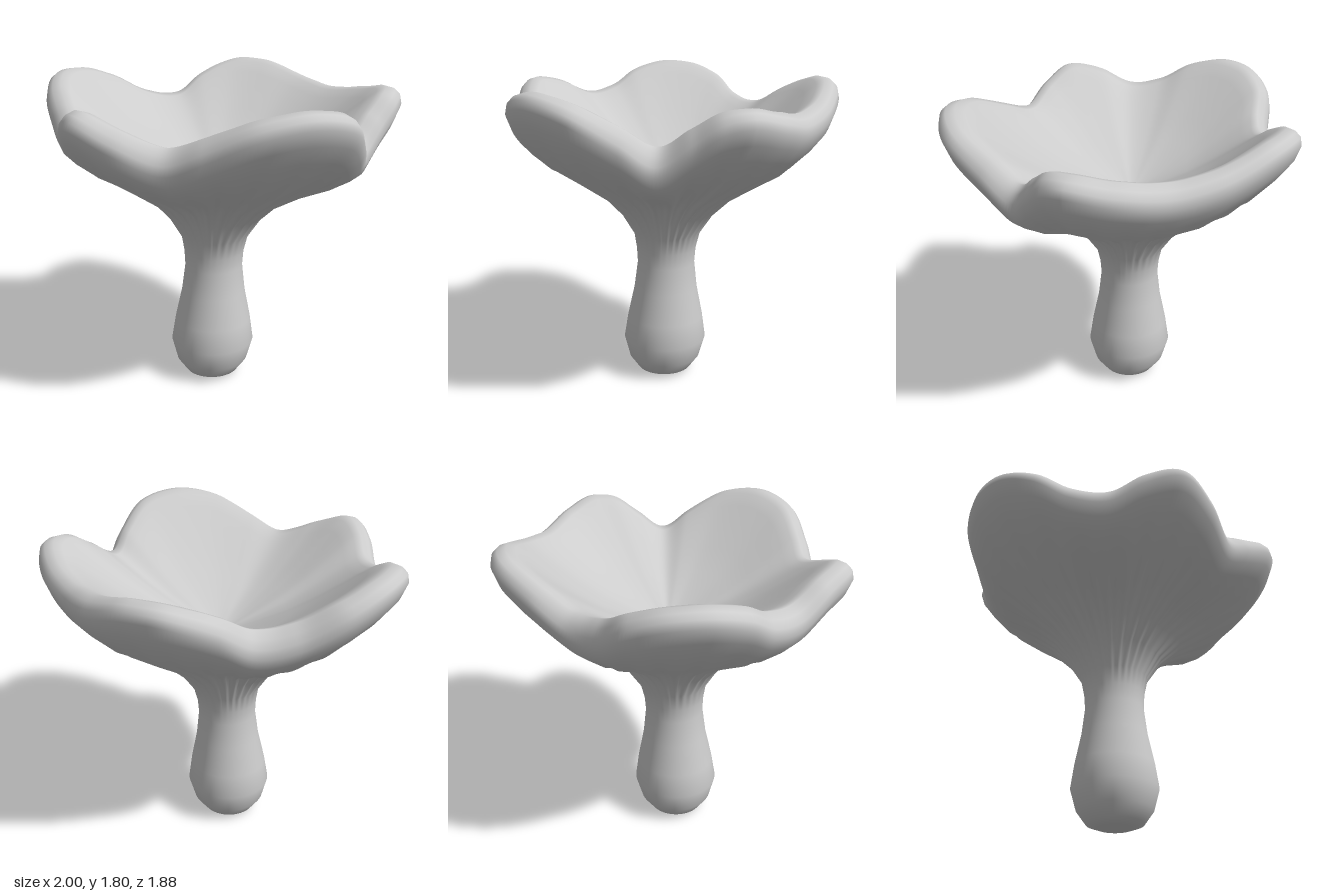
import * as THREE from 'three';

const COLUMNS = 256;
const STEM_CENTRE = new THREE.Vector3(-0.045, 0, 0.034);

// Wavy rim of the cap: x, crest height, z
const RIM = [
  [1, 1.74, -0.12], [0.975, 1.715, 0.02], [0.89, 1.61, 0.15], [0.8, 1.495, 0.3], [0.775, 1.61, 0.48],
  [0.71, 1.75, 0.71], [0.52, 1.8, 0.87], [0.27, 1.755, 0.935], [0, 1.63, 0.885], [-0.2, 1.55, 0.825],
  [-0.45, 1.645, 0.815], [-0.66, 1.735, 0.74], [-0.76, 1.69, 0.56], [-0.82, 1.59, 0.37], [-0.9, 1.62, 0.18],
  [-0.98, 1.73, 0], [-1, 1.79, -0.2], [-0.93, 1.78, -0.4], [-0.78, 1.7, -0.55], [-0.55, 1.565, -0.62],
  [-0.36, 1.54, -0.7], [-0.2, 1.67, -0.84], [0.03, 1.77, -0.94], [0.25, 1.765, -0.9], [0.5, 1.68, -0.74],
  [0.7, 1.64, -0.54], [0.9, 1.69, -0.33],
];

// Stem rings: radius, height
const STEM = [[0, 0], [0.1, 0.002], [0.16, 0.025], [0.213, 0.1], [0.245, 0.22], [0.224, 0.36], [0.187, 0.54], [0.168, 0.7], [0.174, 0.79]];
// Gilled underside up to the crest, then the funnel: fraction of rim radius, height
const UNDERSIDE = [[0.195, 0.89], [0.28, 1.02], [0.4, 1.135], [0.58, 1.25], [0.78, 1.38], [0.9, 1.5], [0.97, 1.59], [1, 1.67], [0.99, 1.715], [0.96, 1.742], [0.91, 1.755]];
const FUNNEL = [[0.86, 1.738], [0.79, 1.685], [0.7, 1.615], [0.55, 1.505], [0.4, 1.41], [0.2, 1.315], [0.08, 1.265], [0, 1.25]];

function stemPoint(rim, [r, y]) {
  const a = Math.atan2(rim.z, rim.x);
  // the stem leans gently towards the middle of the cap
  return new THREE.Vector3(Math.cos(a) * r, y, Math.sin(a) * r).addScaledVector(STEM_CENTRE, 1 - 0.4 * y);
}

function undersidePoint(rim, [t, y]) {
  const a = Math.atan2(rim.z, rim.x);
  const spread = THREE.MathUtils.smoothstep(t, 0.1, 0.6);
  // round near the stem, lobed near the rim
  const p = new THREE.Vector3(Math.cos(a) * t, 0, Math.sin(a) * t).addScaledVector(STEM_CENTRE, 0.65);
  p.lerp(new THREE.Vector3(rim.x * t, 0, rim.z * t), spread);
  const gill = 0.012 * Math.sin(Math.PI * t) ** 2 * Math.cos(30 * a + 1.2 * Math.sin(3 * a));
  p.y = y + (rim.y - 1.75) * t ** 2.5 + gill;
  return p;
}

function funnelPoint(rim, [t, y]) {
  return new THREE.Vector3(rim.x * t, y + (rim.y - 1.75) * t ** 1.7, rim.z * t);
}

export function createModel() {
  const grey = new THREE.MeshStandardMaterial({ color: 0xcccccc });
  grey.name = 'light grey';

  const curve = new THREE.CatmullRomCurve3(RIM.map((p) => new THREE.Vector3(...p)), true);
  const rows = [
    ...STEM.map((p) => [stemPoint, p]),
    ...UNDERSIDE.map((p) => [undersidePoint, p]),
    ...FUNNEL.map((p) => [funnelPoint, p]),
  ];

  // One continuous skin of rings from the foot to the funnel's centre
  const rims = Array.from({ length: COLUMNS }, (_, i) => curve.getPoint(i / COLUMNS));
  const positions = [];
  for (const [place, p] of rows) {
    for (const rim of rims) positions.push(...place(rim, p).toArray());
  }

  function skin(from, to) {
    const index = [];
    for (let j = from; j < to; j++) {
      for (let i = 0; i < COLUMNS; i++) {
        const n = (i + 1) % COLUMNS;
        const a = j * COLUMNS + i, b = a + COLUMNS;
        const d = j * COLUMNS + n, c = d + COLUMNS;
        // single triangles at the foot's and the funnel's centre
        if (j > 0) index.push(a, b, d);
        if (j < rows.length - 2) index.push(b, c, d);
      }
    }
    return index;
  }

  const whole = new THREE.BufferGeometry();
  whole.setAttribute('position', new THREE.Float32BufferAttribute(positions, 3));
  whole.setIndex(skin(0, rows.length - 1));
  whole.computeVertexNormals();

  // Parts share the normals of the whole, so no seam shows between them
  const group = new THREE.Group();
  group.name = 'mushroom';
  const crest = STEM.length + UNDERSIDE.length - 1;
  const parts = [
    ['stem', 0, STEM.length],
    ['gilledUnderside', STEM.length, crest],
    ['capFunnel', crest, rows.length - 1],
  ];
  for (const [name, from, to] of parts) {
    const geometry = new THREE.BufferGeometry();
    geometry.setAttribute('position', whole.getAttribute('position'));
    geometry.setAttribute('normal', whole.getAttribute('normal'));
    geometry.setIndex(skin(from, to));
    const mesh = new THREE.Mesh(geometry, grey);
    mesh.name = name;
    group.add(mesh);
  }
  return group;
}
